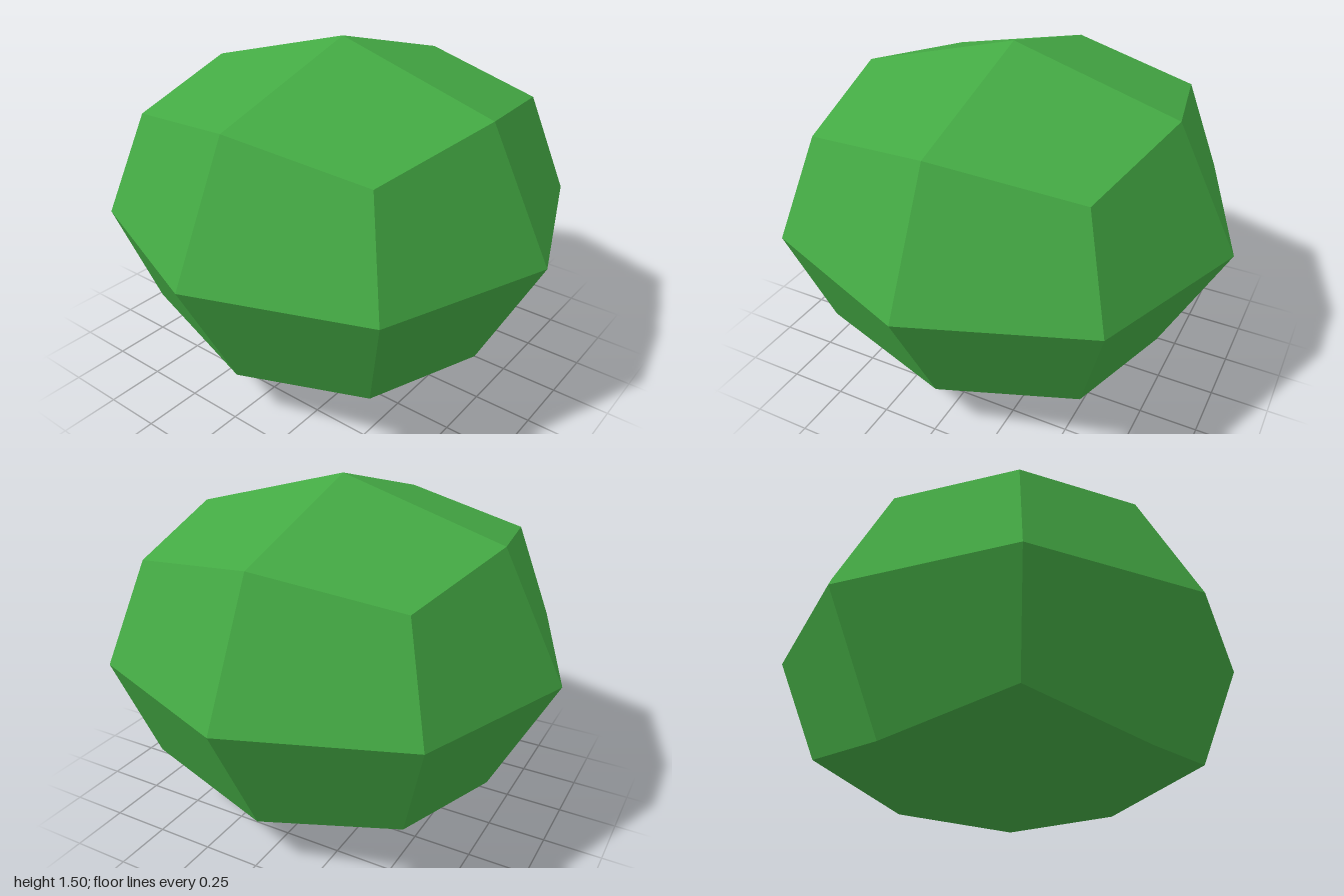
import * as THREE from 'three';

// Faceted boulder-like bush: 24 kite faces around six poles, squashed in height
const EDGE = 0.723;   // points halfway between two poles
const CORNER = 0.596; // points between three poles
const HEIGHT = 0.75;  // vertical squash

function createBushGeometry() {
  const positions = [];
  const normals = [];
  const place = (v) => new THREE.Vector3(v[0], v[1] * HEIGHT, v[2]);

  const addKite = (axis, signs) => {
    const u = (axis + 1) % 3;
    const w = (axis + 2) % 3;
    const point = (size, ...axes) =>
      place([0, 1, 2].map((i) => (axes.includes(i) ? signs[i] * size : 0)));
    const pole = point(1, axis);
    const corner = point(CORNER, 0, 1, 2);
    let a = point(EDGE, axis, u);
    let b = point(EDGE, axis, w);
    // Mirrored octants need the opposite winding
    if (signs[0] * signs[1] * signs[2] < 0) [a, b] = [b, a];
    // One flat normal for the whole kite
    const normal = corner.clone().sub(pole).cross(b.clone().sub(a)).normalize();
    for (const p of [pole, a, corner, pole, corner, b]) {
      positions.push(p.x, p.y + HEIGHT, p.z);
      normals.push(normal.x, normal.y, normal.z);
    }
  };

  for (const sx of [-1, 1])
    for (const sy of [-1, 1])
      for (const sz of [-1, 1])
        for (let axis = 0; axis < 3; axis++) addKite(axis, [sx, sy, sz]);

  const geometry = new THREE.BufferGeometry();
  geometry.setAttribute('position', new THREE.Float32BufferAttribute(positions, 3));
  geometry.setAttribute('normal', new THREE.Float32BufferAttribute(normals, 3));
  return geometry;
}

export function createModel() {
  const group = new THREE.Group();
  group.name = 'bush';
  const leafGreen = new THREE.MeshStandardMaterial({ color: 0x44aa44 });
  leafGreen.name = 'leafGreen';
  const foliage = new THREE.Mesh(createBushGeometry(), leafGreen);
  foliage.name = 'foliage';
  group.add(foliage);
  return group;
}
